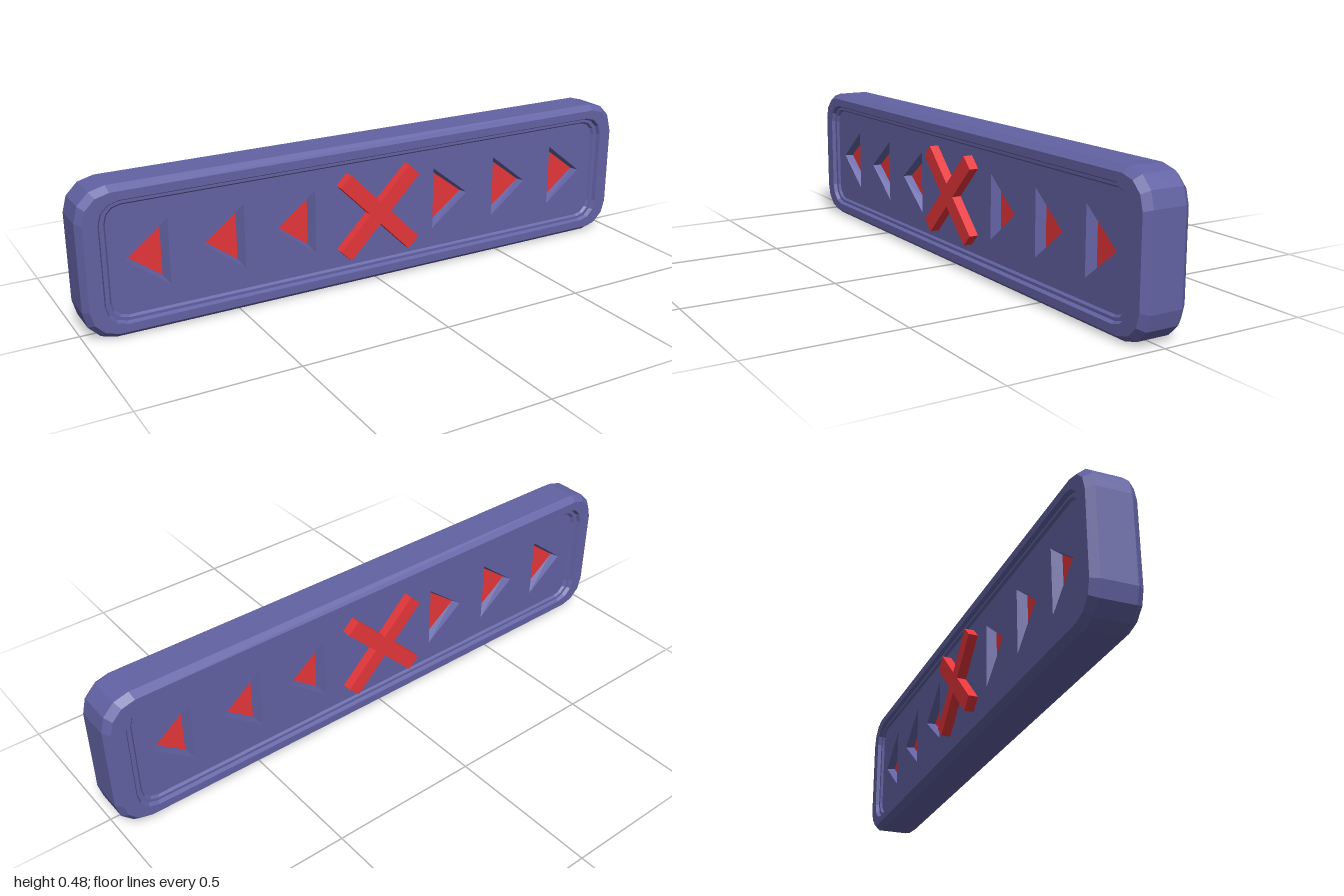
import * as THREE from 'three';

const CY = 0.2415; // centre height
const PANEL_Z = 0.058, FLOOR_Z = 0.03;

const blue = new THREE.MeshStandardMaterial({ color: 0x6262a4, flatShading: true });
const red = new THREE.MeshStandardMaterial({ color: 0xe6363a, flatShading: true });

// Rounded rectangle outline, counter-clockwise, three facets per corner
function roundedRing(hx, hy, r) {
  const pts = [];
  [[1, 1], [-1, 1], [-1, -1], [1, -1]].forEach(([sx, sy], c) => {
    for (let i = 0; i <= 3; i++) {
      const a = (c + i / 3) * Math.PI / 2;
      pts.push(new THREE.Vector2(sx * (hx - r) + r * Math.cos(a), sy * (hy - r) + r * Math.sin(a)));
    }
  });
  return pts;
}

// Joins successive { pts, z } rings with a band of faces
function loft(rings) {
  const pos = [];
  for (let k = 0; k + 1 < rings.length; k++) {
    const a = rings[k], b = rings[k + 1], n = a.pts.length;
    for (let i = 0; i < n; i++) {
      const j = (i + 1) % n;
      const p = (ring, m) => [ring.pts[m].x, ring.pts[m].y, ring.z];
      pos.push(...p(a, i), ...p(a, j), ...p(b, j), ...p(a, i), ...p(b, j), ...p(b, i));
    }
  }
  const g = new THREE.BufferGeometry();
  g.setAttribute('position', new THREE.Float32BufferAttribute(pos, 3));
  g.computeVertexNormals();
  return g;
}

function add(parent, name, geometry, material) {
  const mesh = new THREE.Mesh(geometry, material);
  mesh.name = name;
  parent.add(mesh);
  return mesh;
}

// Outward-pointing triangle, counter-clockwise on either side
function arrow(side, tipX, baseX, half) {
  const tip = new THREE.Vector2(side * tipX, 0);
  const lo = new THREE.Vector2(side * baseX, -half), hi = new THREE.Vector2(side * baseX, half);
  return side > 0 ? [tip, hi, lo] : [tip, lo, hi];
}

function createFace(name) {
  const face = new THREE.Group();
  face.name = name;

  // Bevelled rim stepping down to the sunken panel
  const profile = [
    [1, 0.2415, 0.1, 0.055], [0.983, 0.224, 0.088, 0.078], [0.937, 0.197, 0.068, 0.078],
    [0.93, 0.191, 0.063, 0.066], [0.917, 0.182, 0.055, 0.066], [0.91, 0.176, 0.05, PANEL_Z],
  ];
  const rings = profile.map(([hx, hy, r, z]) => ({ pts: roundedRing(hx, hy, r), z }));
  add(face, 'rim', loft(rings), blue);

  // Panel pierced by six arrow pockets with red floors
  const panel = new THREE.Shape(rings[rings.length - 1].pts);
  for (const side of [-1, 1]) {
    for (let i = 0; i < 3; i++) {
      const x = 0.225 + i * 0.248;
      const outer = arrow(side, x + 0.138, x, 0.108);
      const inner = arrow(side, x + 0.129, x + 0.017, 0.084);
      panel.holes.push(new THREE.Path(outer));
      add(face, 'arrowPocket', loft([{ pts: outer, z: PANEL_Z }, { pts: inner, z: FLOOR_Z }]), blue);
      add(face, 'arrowFloor', new THREE.ShapeGeometry(new THREE.Shape(inner)), red).position.z = FLOOR_Z;
    }
  }
  add(face, 'panel', new THREE.ShapeGeometry(panel), blue).position.z = PANEL_Z;

  // Raised diagonal cross
  const w = 0.027, l = 0.183, pts = [];
  for (let i = 0; i < 4; i++) {
    for (const [x, y] of [[l, -w], [l, w], [w, w]]) {
      pts.push(new THREE.Vector2(x, y).rotateAround(new THREE.Vector2(), Math.PI / 4 + i * Math.PI / 2));
    }
  }
  const crossGeo = new THREE.ExtrudeGeometry(new THREE.Shape(pts), { depth: 0.04, bevelEnabled: false });
  add(face, 'cross', crossGeo, red).position.z = 0.05;
  return face;
}

export function createModel() {
  const model = new THREE.Group();
  model.name = 'signBar';
  const body = new THREE.Group();
  body.name = 'body';
  body.position.y = CY;
  model.add(body);

  // Outer edge band
  const outline = roundedRing(1, 0.2415, 0.1);
  add(body, 'edge', loft([{ pts: outline, z: -0.055 }, { pts: outline, z: 0.055 }]), blue);

  // Identical decorated faces, front and back
  const back = createFace('backFace');
  back.rotation.y = Math.PI;
  body.add(createFace('frontFace'), back);
  return model;
}
